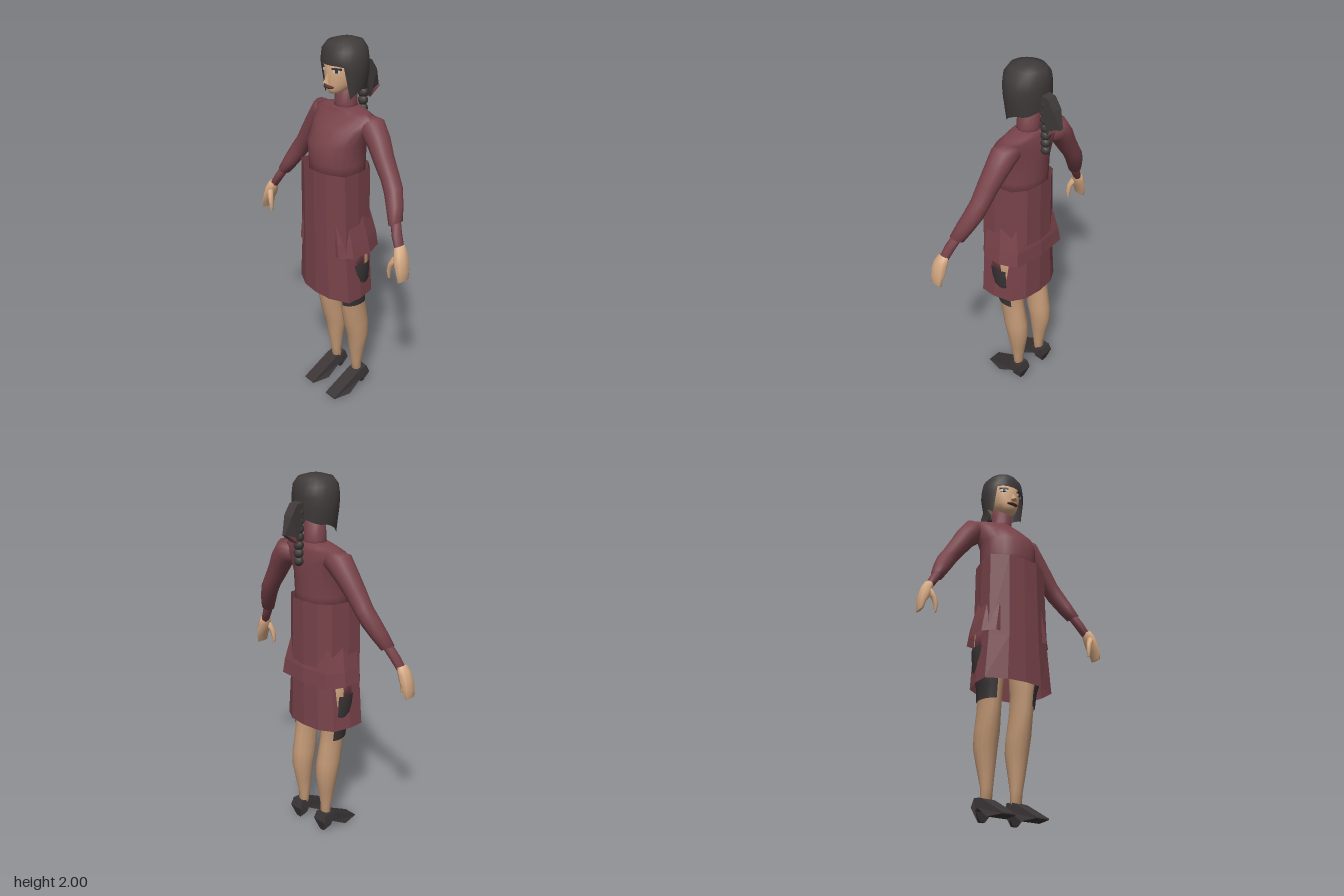
import * as THREE from 'three';

const mat = (name, color, side = THREE.FrontSide) => {
  const m = new THREE.MeshStandardMaterial({ color, side });
  m.name = name;
  return m;
};

// Unit outline around y, starting at the front (+z) and turning towards +x
const arc = (n, from = 0, to = Math.PI * 2) => {
  const open = to - from < 6.28;
  return Array.from({ length: open ? n + 1 : n }, (_, i) => {
    const t = from + ((to - from) * i) / n;
    return [Math.sin(t), Math.cos(t)];
  });
};
// Completes a half outline (front centre to back centre) by mirroring it
const mirrored = (half) => [...half, ...half.slice(1, -1).reverse().map(([x, z]) => [-x, z])];

// Skin through cross-sections [x, y, z, halfWidth, halfDepth], square to the path
function loft(sections, outline = arc(14), { closed = true, caps = true, flat = false } = {}) {
  const pos = [], idx = [], n = outline.length, last = sections.length - 1;
  sections.forEach(([x, y, z, a, b], i) => {
    const p = sections[Math.max(0, i - 1)], q = sections[Math.min(last, i + 1)];
    const dx = q[0] - p[0], dy = q[1] - p[1], l = Math.hypot(dx, dy);
    for (const [u, v] of outline) pos.push(x + (dy / l) * a * u, y - (dx / l) * a * u, z + b * v);
  });
  for (let i = 0; i < last; i++) {
    for (let j = 0; j < (closed ? n : n - 1); j++) {
      const k = (j + 1) % n, lo = i * n, hi = lo + n;
      idx.push(lo + j, lo + k, hi + k, lo + j, hi + k, hi + j);
    }
  }
  if (caps) {
    for (const i of [0, last]) {
      const c = pos.length / 3;
      pos.push(...sections[i].slice(0, 3));
      for (let j = 0; j < n; j++) {
        const a = i * n + j, b = i * n + ((j + 1) % n);
        idx.push(c, ...(i ? [a, b] : [b, a]));
      }
    }
  }
  let g = new THREE.BufferGeometry();
  g.setAttribute('position', new THREE.Float32BufferAttribute(pos, 3));
  g.setIndex(idx);
  if (flat) g = g.toNonIndexed();
  g.computeVertexNormals();
  return g;
}

// Extrudes a side profile of [z, y] points across x
function sideExtrude(points, width) {
  const g = new THREE.ExtrudeGeometry(new THREE.Shape(points.map((p) => new THREE.Vector2(...p))),
    { depth: width, bevelEnabled: false });
  return g.translate(0, 0, -width / 2).rotateY(-Math.PI / 2);
}

export function createModel() {
  const model = new THREE.Group();
  const cloth = mat('maroon cloth', 0x78434a, THREE.DoubleSide);
  const hair = mat('dark hair', 0x403a3a, THREE.DoubleSide);
  const skin = mat('skin', 0xd6aa84);
  const legSkin = mat('leg skin', 0xc29875);
  const black = mat('black leather', 0x3a3435, THREE.DoubleSide);
  const lipColor = mat('lips', 0x57322f);
  const white = mat('eye white', 0xcfc6bd);
  const add = (name, geo, material, x = 0, y = 0, z = 0) => {
    const m = new THREE.Mesh(geo, material);
    m.name = name;
    m.position.set(x, y, z);
    model.add(m);
    return m;
  };

  // Bodice with high collar
  add('bodice', loft([
    [0, 1.3, 0.058, 0.152, 0.137], [0, 1.4, 0.058, 0.155, 0.14], [0, 1.5, 0.057, 0.16, 0.142],
    [0, 1.58, 0.025, 0.185, 0.11], [0, 1.635, 0, 0.21, 0.075], [0, 1.652, 0, 0.15, 0.07],
    [0, 1.668, 0, 0.062, 0.06],
  ], arc(20)), cloth);
  add('collar', loft([[0, 1.64, 0, 0.068, 0.064], [0, 1.68, 0, 0.058, 0.058], [0, 1.77, 0, 0.055, 0.056]]), cloth);

  // Straight tunic skirt with faceted sides
  add('skirt', loft([
    [0, 0.66, 0.065, 0.205, 0.15], [0, 0.9, 0.065, 0.184, 0.15], [0, 1.37, 0.065, 0.175, 0.15],
  ], mirrored([[0, 1], [0.5, 0.93], [1, 0.6], [1, 0.03], [0.86, -0.63], [0.5, -0.93], [0, -1]]),
  { caps: false, flat: true }), cloth);

  // Flared jacket hem breaking through at the hips, and the hips beneath
  add('jacketHem', loft([
    [0, 0.92, 0.045, 0.212, 0.14], [0, 1.0, 0.048, 0.198, 0.137], [0, 1.13, 0.06, 0.17, 0.12],
  ], mirrored([[0, 0.9], [0.75, 1], [1, 0.6], [1, -0.2], [0.8, -0.88], [0, -1]]),
  { caps: false, flat: true }), cloth);
  add('hips', loft([[0, 0.84, 0.06, 0.197, 0.11], [0, 0.96, 0.06, 0.19, 0.115]]), cloth);

  // Arms, hands, legs and shoes for both sides
  for (const s of [1, -1]) {
    const side = s > 0 ? 'left' : 'right';
    const limb = (list) => list.map(([x, ...r]) => [x * s, ...r]);

    add(side + 'Sleeve', loft(limb([
      [0.13, 1.6, -0.01, 0.05, 0.06], [0.19, 1.585, -0.012, 0.07, 0.068], [0.235, 1.53, -0.01, 0.06, 0.062],
      [0.283, 1.457, 0, 0.053, 0.055], [0.335, 1.38, 0.005, 0.047, 0.05], [0.37, 1.328, 0.015, 0.048, 0.05],
      [0.41, 1.26, 0.04, 0.042, 0.046], [0.445, 1.195, 0.066, 0.032, 0.04],
    ])), cloth);
    add(side + 'Cuff', loft(limb([
      [0.435, 1.22, 0.06, 0.024, 0.028], [0.475, 1.15, 0.085, 0.023, 0.028], [0.515, 1.085, 0.1, 0.019, 0.026],
    ]), arc(10)), cloth);
    add(side + 'Palm', loft(limb([
      [0.508, 1.108, 0.1, 0.022, 0.032], [0.525, 1.07, 0.107, 0.028, 0.042], [0.538, 1.03, 0.11, 0.027, 0.046],
      [0.552, 0.99, 0.113, 0.016, 0.044], [0.558, 0.945, 0.115, 0.008, 0.036],
    ]), arc(8)), skin);
    add(side + 'Thumb', loft(limb([
      [0.518, 1.06, 0.125, 0.018, 0.02], [0.495, 1.02, 0.138, 0.014, 0.017],
      [0.486, 0.98, 0.142, 0.01, 0.014], [0.487, 0.942, 0.14, 0.005, 0.008],
    ]), arc(7)), skin);

    add(side + 'Leg', loft(limb([
      [0.088, 0.08, -0.005, 0.03, 0.024], [0.088, 0.16, 0, 0.032, 0.03], [0.092, 0.26, -0.002, 0.046, 0.048],
      [0.095, 0.36, -0.004, 0.06, 0.064], [0.096, 0.44, 0.01, 0.061, 0.074], [0.098, 0.55, 0.03, 0.055, 0.076],
      [0.1, 0.66, 0.045, 0.058, 0.075], [0.108, 0.8, 0.05, 0.083, 0.085], [0.105, 0.95, 0.05, 0.08, 0.09],
    ])), legSkin);
    const outer = s > 0 ? arc(8, 0.15, 2.2) : arc(8, -2.2, -0.15);
    add(side + 'ThighBand', loft(limb([
      [0.1, 0.585, 0.038, 0.06, 0.08], [0.1, 0.66, 0.045, 0.066, 0.084],
      [0.108, 0.76, 0.05, 0.09, 0.093], [0.108, 0.86, 0.052, 0.094, 0.096],
    ]), outer, { closed: false, caps: false }), black);

    // Pointed high-heeled shoe, narrowing upwards, at the toe and at the heel
    const shoe = sideExtrude([[0.2, 0], [0.2, 0.006], [0.03, 0.1], [0, 0.11], [-0.045, 0.115], [-0.06, 0.07],
      [-0.04, 0], [-0.02, 0], [-0.012, 0.045], [0, 0.06], [0.1, 0]], 2);
    const p = shoe.attributes.position;
    for (let i = 0; i < p.count; i++) {
      const y = p.getY(i), z = p.getZ(i);
      const w = z < 0 && y < 0.03 ? 0.014 : z > 0.15 ? 0.038 : 0.055 - y * 0.17;
      p.setX(i, p.getX(i) * w);
    }
    shoe.computeVertexNormals();
    add(side + 'Shoe', shoe, black, 0.096 * s);
  }

  // Head and face
  add('head', loft([
    [0, 1.742, 0.07, 0.028, 0.03], [0, 1.76, 0.05, 0.052, 0.06], [0, 1.79, 0.02, 0.073, 0.095],
    [0, 1.83, 0.01, 0.087, 0.106], [0, 1.88, 0.008, 0.093, 0.107], [0, 1.94, 0, 0.085, 0.095],
  ], arc(20)), skin);
  const nose = add('nose', new THREE.ConeGeometry(0.02, 0.06, 4), skin, 0, 1.825, 0.118);
  nose.rotation.x = -0.25;
  const lips = add('lips', new THREE.SphereGeometry(1, 10, 6), lipColor, 0, 1.776, 0.11);
  lips.scale.set(0.036, 0.009, 0.016);
  for (const s of [1, -1]) {
    const plate = (name, w, h, material, x, y, z) => {
      add(name, new THREE.BoxGeometry(w, h, 0.006), material, x * s, y, z).rotation.y = 0.5 * s;
    };
    plate('eyeWhite', 0.04, 0.018, white, 0.051, 1.859, 0.099);
    plate('iris', 0.016, 0.018, black, 0.051, 1.859, 0.101);
    plate('lashes', 0.05, 0.009, black, 0.052, 1.87, 0.101);
  }

  // Bobbed hair: fringe in front, pointed locks at the cheeks, longer behind
  const cap = loft([
    [0, 1.76, 0.002, 0.11, 0.104], [0, 1.85, 0.005, 0.126, 0.112], [0, 1.9, 0.006, 0.124, 0.114],
    [0, 1.95, 0.006, 0.113, 0.112], [0, 1.985, 0.004, 0.085, 0.09], [0, 2.0, 0, 0.035, 0.04],
  ], arc(24));
  const hp = cap.attributes.position;
  const hem = [1.885, 1.885, 1.885, 1.88, 1.72, 1.745, 1.76, 1.77, 1.77, 1.775, 1.785, 1.795, 1.8];
  for (let j = 0; j < 24; j++) {
    const k = Math.min(j, 24 - j);
    hp.setY(j, hem[k]);
    if (k < 4) {
      // Fringe columns stay on the brow line
      for (const row of [0, 24]) hp.setXYZ(row + j, hp.getX(48 + j), hem[k] + row / 5000, hp.getZ(48 + j));
    }
  }
  // Leave the underside open by dropping the lower cap
  const all = Array.from(cap.index.array), walls = 24 * 5 * 6;
  cap.setIndex([...all.slice(0, walls), ...all.slice(walls + 72)]);
  cap.computeVertexNormals();
  add('hair', cap, hair);

  // Ponytail with tie, and a beaded braid
  const tail = sideExtrude([[-0.09, 1.88], [-0.145, 1.872], [-0.18, 1.82], [-0.212, 1.73],
    [-0.14, 1.685], [-0.125, 1.75], [-0.09, 1.79]], 2);
  const tp = tail.attributes.position;
  for (let i = 0; i < tp.count; i++) tp.setX(i, tp.getX(i) * (tp.getZ(i) < -0.2 ? 0.008 : 0.027));
  tail.computeVertexNormals();
  add('ponytail', tail, hair);
  add('ponytailTie', sideExtrude([[-0.205, 1.729], [-0.14, 1.68], [-0.142, 1.71]], 0.05), cloth);
  for (let i = 0; i < 7; i++) {
    add('braidBead', new THREE.SphereGeometry(0.031 - i * 0.001, 10, 7), hair, 0, 1.83 - i * 0.041, -0.113);
  }
  return model;
}
